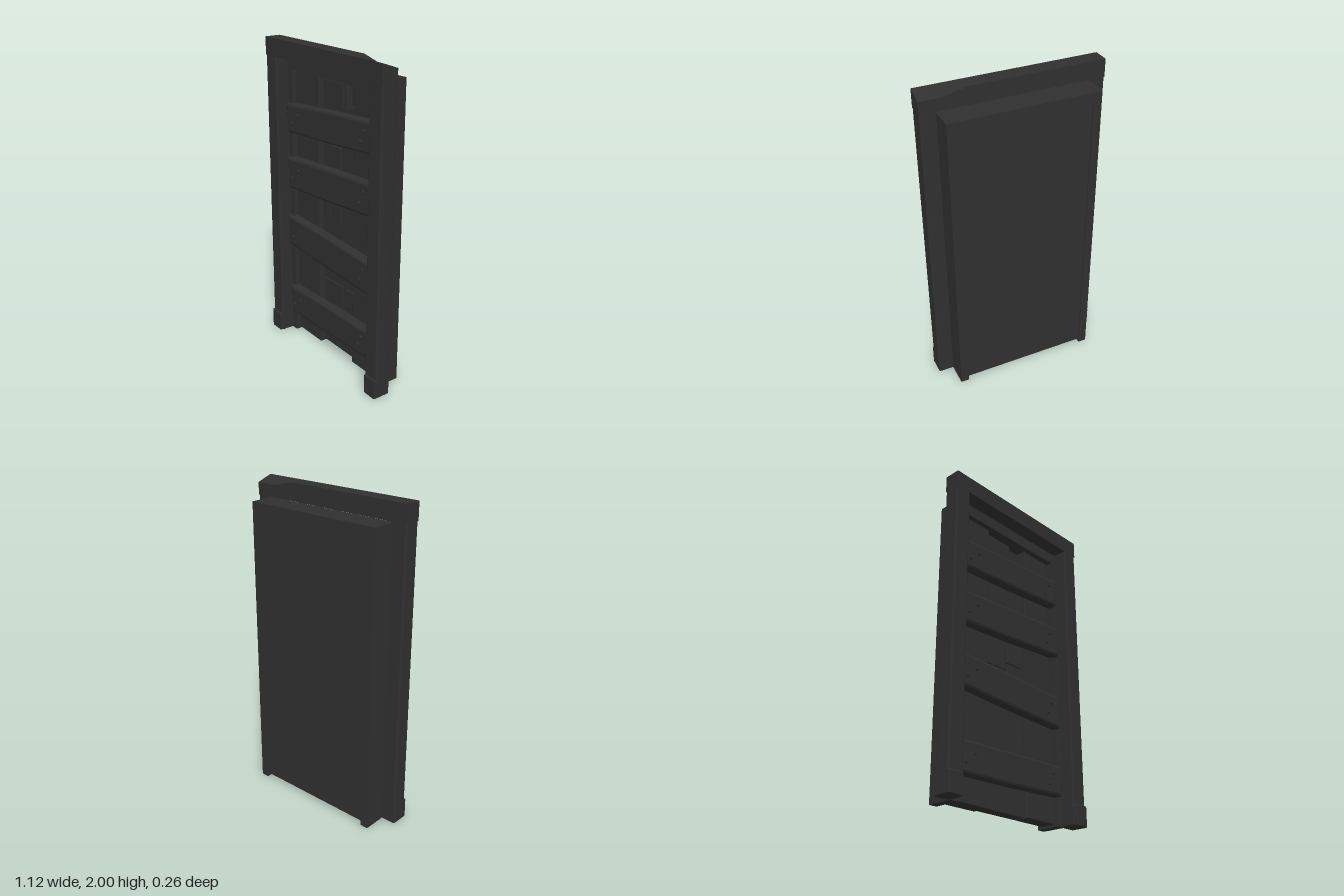
import * as THREE from 'three';
import { RoundedBoxGeometry } from 'three/addons/geometries/RoundedBoxGeometry.js';

export function createModel() {
  const model = new THREE.Group();
  model.name = 'boardedDoor';
  const darkWood = new THREE.MeshStandardMaterial({ color: 0x303030 });
  darkWood.name = 'darkWood';

  const add = (name, geometry, parent = model) => {
    const mesh = new THREE.Mesh(geometry, darkWood);
    mesh.name = name;
    parent.add(mesh);
    return mesh;
  };
  // Box given by its limits on each axis, with optional rounded edges
  const block = (name, [x0, x1], [y0, y1], [z0, z1], r = 0) => {
    const size = [x1 - x0, y1 - y0, z1 - z0];
    const g = r ? new RoundedBoxGeometry(...size, 2, r) : new THREE.BoxGeometry(...size);
    g.translate((x0 + x1) / 2, (y0 + y1) / 2, (z0 + z1) / 2);
    return add(name, g);
  };
  // Bevelled board cut from an outline, spanning z0 to z1
  const board = (name, points, z0, z1, bevel = 0.01, parent = model) => {
    const shape = new THREE.Shape(points.map(p => new THREE.Vector2(...p)));
    const g = new THREE.ExtrudeGeometry(shape, {
      depth: z1 - z0 - 2 * bevel, bevelEnabled: true, bevelSegments: 2,
      bevelSize: bevel, bevelOffset: -bevel, bevelThickness: bevel,
    });
    g.translate(0, 0, z0 + bevel);
    return add(name, g, parent);
  };

  // Front casing: posts, feet and jambs on both sides
  for (const [side, s] of [['right', -1], ['left', 1]]) {
    const span = (a, b) => (s > 0 ? [a, b] : [-b, -a]);
    block(side + 'Post', span(0.452, 0.56), [0, 1.95], [0.015, 0.117], 0.012);
    block(side + 'Foot', span(0.46, 0.56), [0, 0.13], [0.015, 0.13], 0.008);
    block(side + 'Jamb', span(0.41, 0.463), [0, 1.885], [-0.13, 0.03]);
  }

  // Lintel with its back corner worn down at one end
  const lintel = new THREE.BoxGeometry(1.12, 0.11, 0.103, 8, 1, 1);
  lintel.translate(0, 1.945, 0.0665);
  const p = lintel.attributes.position;
  for (let i = 0; i < p.count; i++) {
    if (p.getZ(i) < 0.05 && p.getY(i) > 1.95 && p.getX(i) > 0.4) p.setY(i, 1.965);
  }
  lintel.computeVertexNormals();
  add('lintel', lintel);
  block('headJamb', [-0.463, 0.463], [1.81, 1.885], [-0.13, 0.03]);

  // Flat back of the door
  block('backPanel', [-0.42, 0.42], [0.025, 1.83], [-0.122, -0.07]);

  // Upright planks with rough outer edges
  board('rightPlank', [[-0.42, 0.01], [-0.165, 0.01], [-0.165, 0.6], [-0.175, 0.63],
    [-0.165, 0.68], [-0.165, 1.81], [-0.42, 1.81]], -0.1, 0, 0.006);
  board('middlePlank', [[-0.17, 0.02], [0.175, 0.02], [0.175, 1.66], [0.12, 1.67],
    [0.07, 1.65], [0.06, 1.81], [-0.17, 1.81]], -0.09, -0.035, 0.005);
  board('leftPlank', [[0.17, 0.015], [0.41, 0.015], [0.395, 0.3], [0.415, 0.5], [0.38, 0.75],
    [0.41, 0.95], [0.395, 1.15], [0.36, 1.32], [0.405, 1.46], [0.39, 1.65], [0.4, 1.81],
    [0.17, 1.81]], -0.1, -0.005, 0.006);

  // Broken slats over the middle plank
  const slats = [
    [-0.16, -0.09, 0.9, 1.08], [-0.08, 0.02, 0.9, 1.4], [0.03, 0.16, 0.95, 1.45],
    [0.06, 0.165, 0.36, 0.49], [-0.15, 0.04, 0.36, 0.49], [-0.15, 0.04, 1.64, 1.79],
  ];
  slats.forEach(([x0, x1, y0, y1], i) =>
    block('slat' + (i + 1), [x0, x1], [y0, y1], [-0.045, -0.028], 0.004));

  // Crooked boards nailed across: left end x, low, high, then right end x, low, high
  const boards = [
    [-0.44, 1.415, 1.6, 0.425, 1.465, 1.655],
    [-0.44, 1.045, 1.25, 0.435, 1.1, 1.3],
    [-0.45, 0.65, 0.85, 0.43, 0.605, 0.81],
    [-0.435, 0.15, 0.34, 0.43, 0.175, 0.36],
  ];
  boards.forEach(([x0, a0, b0, x1, a1, b1], i) => {
    const group = new THREE.Group();
    group.name = 'crossBoard' + (i + 1);
    model.add(group);
    board('board', [[x0 + 0.015, a0], [0, (a0 + a1) / 2 - 0.004], [x1 - 0.012, a1],
      [x1, a1 + 0.08], [x1 - 0.015, b1], [0, (b0 + b1) / 2 + 0.004], [x0, b0],
      [x0 + 0.01, (a0 + b0) / 2]], -0.01, 0.06, 0.016, group);
    for (const [x, t] of [[-0.38, 0.35], [-0.31, 0.65], [0.31, 0.35], [0.34, 0.7]]) {
      const k = (x - x0) / (x1 - x0);
      const low = a0 + (a1 - a0) * k, high = b0 + (b1 - b0) * k;
      const nail = add('nail', new THREE.CylinderGeometry(0.011, 0.013, 0.012, 8), group);
      nail.rotation.x = Math.PI / 2;
      nail.position.set(x, low + (high - low) * t, 0.062);
    }
  });

  return model;
}
